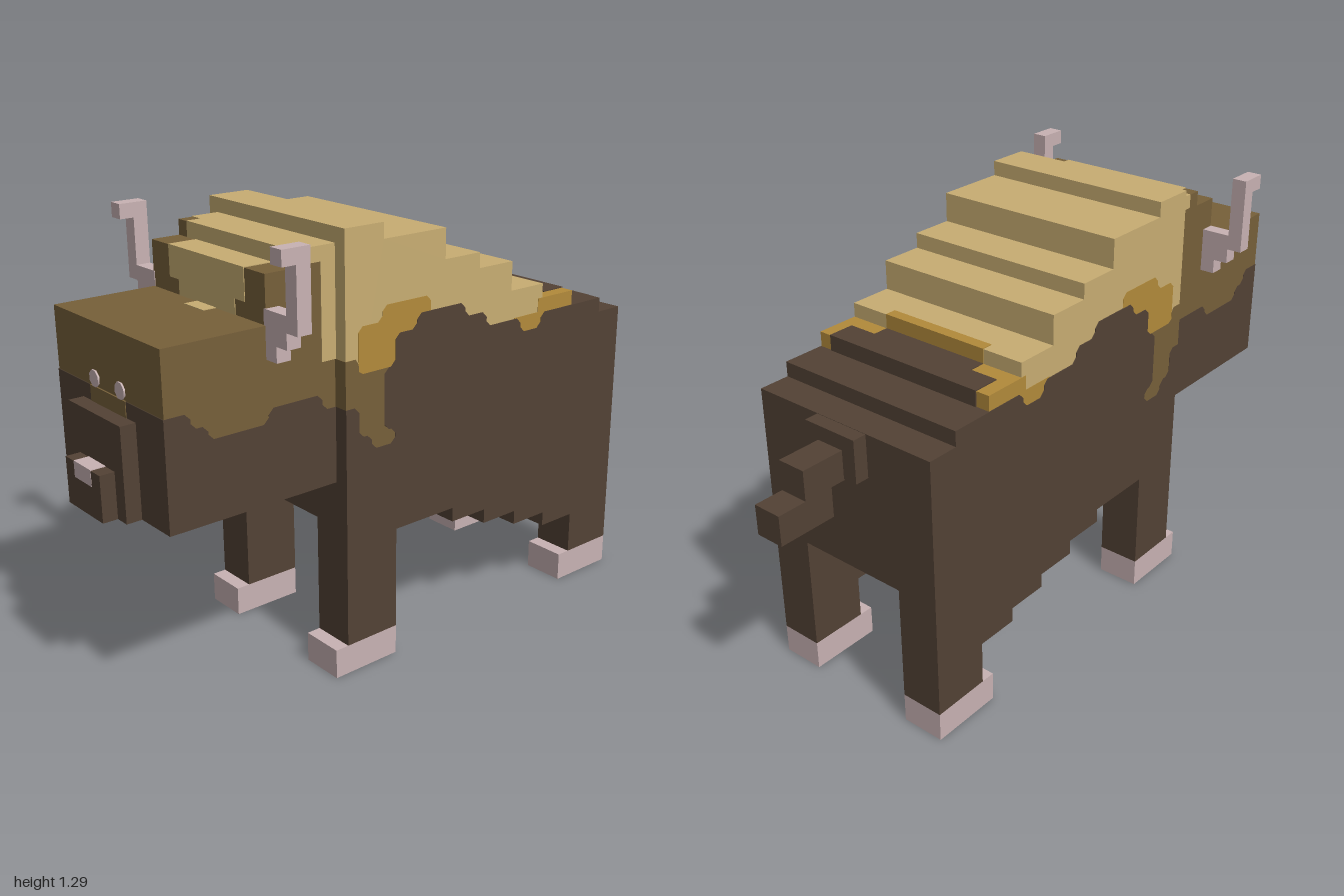
import * as THREE from 'three';

const material = (name, color) => {
  const m = new THREE.MeshStandardMaterial({ color });
  m.name = name;
  return m;
};

export function createModel() {
  const dark = material('dark brown hide', 0x534235);
  const olive = material('olive brown mane', 0x77603a);
  const tan = material('tan wool', 0xc9ae73);
  const gold = material('golden wool', 0xb38b3b);
  const horn = material('pale pink horn', 0xc9b3b4);

  const group = new THREE.Group();
  const add = (name, geometry, mat) => {
    const mesh = new THREE.Mesh(geometry, mat);
    mesh.name = name;
    group.add(mesh);
    return mesh;
  };
  // Box given by its limits on each axis
  const box = (name, mat, x0, x1, y0, y1, z0, z1) => {
    const g = new THREE.BoxGeometry(x1 - x0, y1 - y0, z1 - z0);
    g.translate((x0 + x1) / 2, (y0 + y1) / 2, (z0 + z1) / 2);
    return add(name, g, mat);
  };
  const wide = (name, mat, halfWidth, ...limits) => box(name, mat, -halfWidth, halfWidth, ...limits);
  const extrude = (points, depth) => new THREE.ExtrudeGeometry(
    new THREE.Shape(points.map(([a, b]) => new THREE.Vector2(a, b))), { depth, bevelEnabled: false });
  // Side profile of [z, y] points, extruded between two x limits
  const profile = (name, mat, points, x0, x1) => {
    const g = extrude(points, x1 - x0);
    g.rotateY(-Math.PI / 2);
    g.translate(x1, 0, 0);
    return add(name, g, mat);
  };
  // Cuts the inner corners of a stepped colour border
  const soften = (line, cut = 0.016) => line.flatMap((p, i) => {
    if (i === 0 || i === line.length - 1) return [p];
    return [line[i - 1], line[i + 1]].map((q) => {
      const d = Math.hypot(q[0] - p[0], q[1] - p[1]);
      const t = Math.min(cut, d * 0.45) / d;
      return [p[0] + (q[0] - p[0]) * t, p[1] + (q[1] - p[1]) * t];
    });
  });

  // Stepped woolly back
  profile('woolBack', tan, [
    [0.378, 0.6], [0.378, 1.29], [0.245, 1.29], [0.245, 1.245], [0.022, 1.245], [0.022, 1.157],
    [-0.111, 1.157], [-0.111, 1.111], [-0.244, 1.111], [-0.244, 1.023], [-0.378, 1.023],
    [-0.378, 0.978], [-0.508, 0.978], [-0.508, 0.6]], -0.308, 0.308);

  // Golden patches behind the shoulder and on the rump
  profile('shoulderPatch', gold, soften([
    [0.25, 0.85], [0.29, 0.85], [0.335, 0.885], [0.335, 1.022], [0.25, 1.022], [0.25, 1.066],
    [0.075, 1.066], [0.075, 0.96], [0.15, 0.9], [0.2, 0.85]]), -0.309, -0.2);
  group.children.at(-1).clone();
  profile('shoulderPatch', gold, soften([
    [0.25, 0.85], [0.29, 0.85], [0.335, 0.885], [0.335, 1.022], [0.25, 1.022], [0.25, 1.066],
    [0.075, 1.066], [0.075, 0.96], [0.15, 0.9], [0.2, 0.85]]), 0.2, 0.309);
  profile('rumpPatch', gold, [
    [-0.26, 0.86], [-0.26, 0.938], [-0.36, 0.938], [-0.36, 0.98], [-0.51, 0.98], [-0.51, 0.86]], -0.309, 0.309);
  wide('rumpPatchTop', gold, 0.178, 0.97, 1.025, -0.38, -0.345);

  // Mane on the shoulder
  profile('shoulderMane', olive, [
    [0.38, 0.8], [0.38, 0.935], [0.345, 0.935], [0.335, 0.92], [0.335, 0.9], [0.32, 0.89],
    [0.2, 0.89], [0.19, 0.65], [0.3, 0.65], [0.34, 0.7], [0.36, 0.8]], -0.31, 0.31);

  // Dark body below the wool border
  const border = soften([
    [0.38, 0.8], [0.335, 0.8], [0.335, 0.711], [0.29, 0.711], [0.29, 0.667], [0.205, 0.667],
    [0.205, 0.711], [0.245, 0.711], [0.245, 0.89], [0.205, 0.89], [0.205, 0.98], [0.126, 0.98],
    [0.126, 1.022], [-0.056, 1.022], [-0.056, 0.98], [-0.142, 0.98], [-0.142, 0.935],
    [-0.285, 0.935], [-0.285, 0.89], [-0.373, 0.89], [-0.373, 0.935], [-0.51, 0.935]]);
  profile('body', dark, [
    ...border, [-0.64, 0.935], [-0.64, 0.89], [-0.735, 0.89], [-0.735, 0.445], [0.38, 0.445]], -0.311, 0.311);
  wide('rumpTop', dark, 0.267, 0.9, 0.983, -0.513, -0.43);
  wide('rumpTopFront', dark, 0.178, 0.9, 0.982, -0.45, -0.38);

  // Legs with stepped haunches, and hooves
  const legs = [
    [0.38, 0.445], [0.38, 0.089], [0.2, 0.089], [0.2, 0.4], [-0.022, 0.4], [-0.022, 0.356],
    [-0.155, 0.356], [-0.155, 0.311], [-0.289, 0.311], [-0.289, 0.267], [-0.422, 0.267],
    [-0.422, 0.222], [-0.555, 0.222], [-0.555, 0.089], [-0.735, 0.089], [-0.735, 0.445]];
  for (const [side, x0, x1] of [['left', 0.178, 0.311], ['right', -0.311, -0.178]]) {
    profile(side + 'Legs', dark, legs, x0, x1);
    box(side + 'FrontHoof', horn, x0, x1, 0, 0.089, 0.2, 0.423);
    box(side + 'BackHoof', horn, x0, x1, 0, 0.089, -0.735, -0.511);
  }

  // Head: mane above, dark muzzle below
  profile('headMane', olive, [
    [0.38, 0.62], [0.909, 0.62], [0.909, 1.067], [0.6, 1.067], [0.6, 1.2], [0.511, 1.2],
    [0.511, 1.245], [0.38, 1.245]], -0.266, 0.266);
  profile('lowerHead', dark, [
    [0.38, 0.58], [0.911, 0.58], ...soften([
      [0.911, 0.889], [0.835, 0.889], [0.835, 0.845], [0.785, 0.845], [0.785, 0.805], [0.6, 0.805],
      [0.6, 0.845], [0.425, 0.845], [0.425, 0.8], [0.38, 0.8]])], -0.267, 0.267);
  wide('browMane', olive, 0.089, 0.845, 0.89, 0.905, 0.913);
  wide('snout', dark, 0.133, 0.58, 0.845, 0.9, 0.956);
  wide('nose', dark, 0.089, 0.58, 0.711, 0.95, 0.999);
  wide('noseTip', horn, 0.044, 0.667, 0.713, 0.956, 1.0);

  // Wool crest on the head
  wide('crestBack', tan, 0.268, 0.935, 1.247, 0.378, 0.425);
  wide('crestSides', tan, 0.268, 1.205, 1.247, 0.378, 0.467);
  wide('crestTop', tan, 0.222, 1.2, 1.247, 0.378, 0.513);
  wide('crestStep', tan, 0.178, 1.111, 1.202, 0.5, 0.602);
  wide('crestFront', tan, 0.133, 1.067, 1.15, 0.5, 0.602);
  wide('forelock', tan, 0.045, 1.06, 1.069, 0.59, 0.643);

  // Eyes and horns
  const hornShape = [
    [0.26, 0.978], [0.311, 0.978], [0.311, 1.022], [0.355, 1.022], [0.355, 1.067], [0.4, 1.067],
    [0.4, 1.29], [0.355, 1.29], [0.355, 1.111], [0.26, 1.111]];
  for (const [side, s] of [['left', 1], ['right', -1]]) {
    const eye = new THREE.CylinderGeometry(0.024, 0.024, 0.008, 8);
    eye.rotateY(Math.PI / 8).rotateX(Math.PI / 2).translate(0.065 * s, 0.912, 0.91);
    add(side + 'Eye', eye, horn);
    const g = extrude(hornShape.map(([x, y]) => [x * s, y]), 0.044);
    g.translate(0, 0, 0.558);
    add(side + 'Horn', g, horn);
    box(side + 'HornTip', horn, s > 0 ? 0.355 : -0.4, s > 0 ? 0.4 : -0.355, 1.247, 1.29, 0.6, 0.645);
  }

  // Tail
  wide('tailRoot', dark, 0.089, 0.76, 0.889, -0.778, -0.73);
  wide('tailMiddle', dark, 0.044, 0.756, 0.845, -0.911, -0.77);
  wide('tailTip', dark, 0.044, 0.667, 0.756, -1, -0.822);

  return group;
}
